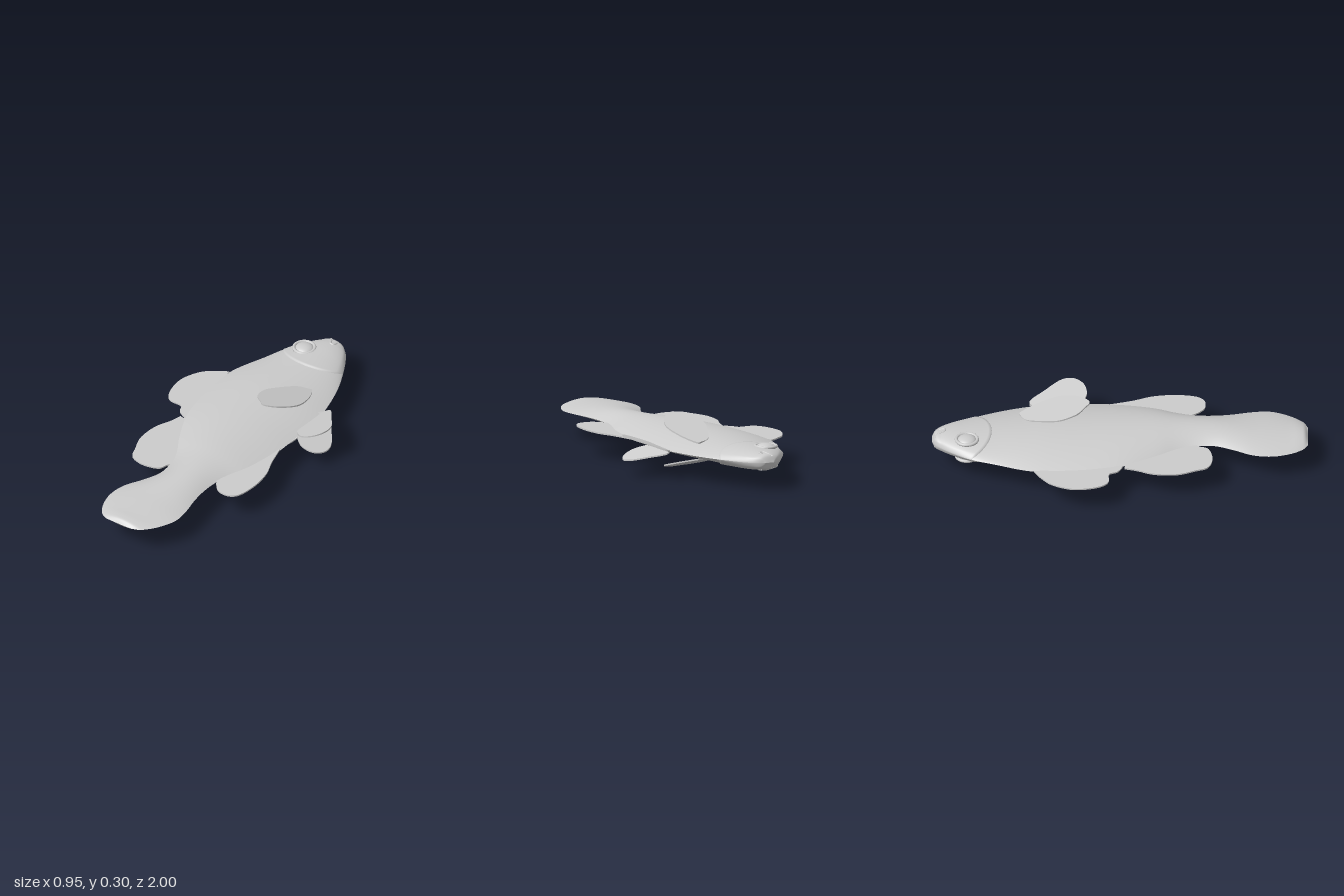
import * as THREE from 'three';

const MID = 0.178; // height of the fish's plane of symmetry
const material = new THREE.MeshStandardMaterial({ color: 0xcccccc, side: THREE.DoubleSide });

// body stations from nose to tail: z, edge at -x, edge at +x, half thickness
const stations = [
  [-1, -0.02, 0.03, 0], [-0.985, -0.05, 0.06, 0.027], [-0.95, -0.085, 0.1, 0.038],
  [-0.9, -0.125, 0.135, 0.045], [-0.8, -0.19, 0.19, 0.05], [-0.68, -0.235, 0.245, 0.053],
  [-0.5, -0.3, 0.3, 0.06], [-0.4, -0.315, 0.318, 0.064], [-0.2, -0.31, 0.325, 0.066],
  [0, -0.27, 0.32, 0.066], [0.2, -0.175, 0.28, 0.062], [0.3, -0.115, 0.24, 0.056],
  [0.4, -0.08, 0.215, 0.051], [0.5, -0.077, 0.21, 0.046], [0.6, -0.115, 0.22, 0.04],
  [0.7, -0.165, 0.24, 0.034], [0.8, -0.18, 0.245, 0.03], [0.9, -0.158, 0.205, 0.026],
  [0.96, -0.125, 0.16, 0.024], [0.985, -0.1, 0.13, 0.018], [1, -0.07, 0.09, 0],
];
const spline = new THREE.CubicInterpolant(
  stations.map(p => p[0]), stations.flatMap(p => p.slice(1)), 3);

// point on the flank: s runs -1..1 across the body, lift raises it off the skin
function flank(z, s, side, lift = 0) {
  const [a, b, h] = spline.evaluate(z);
  const power = THREE.MathUtils.lerp(0.55, 1, THREE.MathUtils.smoothstep(z, -1, -0.5));
  const y = Math.max(h, 0) * Math.pow(Math.max(1 - s * s, 0), power);
  return [(a + b) / 2 + s * (b - a) / 2, MID + side * (y + lift), z];
}

// height of the skin above the symmetry plane at x, z
function skinHeight(x, z) {
  const [a, b] = spline.evaluate(z);
  return flank(z, (2 * x - a - b) / (b - a), 1)[1] - MID;
}

// smooth grid surface, rows along z and columns along x
function sheet(name, rows, cols, side, point) {
  const pos = [], index = [];
  for (let i = 0; i <= rows; i++) {
    for (let j = 0; j <= cols; j++) {
      pos.push(...point(i / rows, -Math.cos(Math.PI * j / cols)));
      if (i < rows && j < cols) {
        const a = i * (cols + 1) + j, b = a + cols + 1;
        if (side > 0) index.push(a, b, a + 1, b, b + 1, a + 1);
        else index.push(a, a + 1, b, b, a + 1, b + 1);
      }
    }
  }
  const geo = new THREE.BufferGeometry();
  geo.setAttribute('position', new THREE.Float32BufferAttribute(pos, 3));
  geo.setIndex(index);
  geo.computeVertexNormals();
  return named(name, geo);
}

function named(name, geo) {
  const mesh = new THREE.Mesh(geo, material);
  mesh.name = name;
  return mesh;
}

// thin fin from an x, z outline, its height given by a rule
function fin(name, outline, height) {
  const shape = new THREE.Shape();
  shape.moveTo(...outline[0]);
  shape.splineThru([...outline.slice(1), outline[0]].map(p => new THREE.Vector2(...p)));
  const depth = 0.008;
  const geo = new THREE.ExtrudeGeometry(shape, { depth, bevelEnabled: false, curveSegments: 48 });
  geo.rotateX(Math.PI / 2).translate(0, MID + depth / 2, 0);
  const p = geo.attributes.position;
  for (let i = 0; i < p.count; i++) p.setY(i, p.getY(i) + height(p.getX(i), p.getZ(i)));
  geo.computeVertexNormals();
  return named(name, geo);
}

const dorsalFront = [[-0.31, -0.46], [-0.36, -0.43], [-0.43, -0.37], [-0.475, -0.27], [-0.475, -0.18],
  [-0.45, -0.1], [-0.41, -0.065], [-0.34, -0.06], [-0.31, -0.01], [-0.24, 0], [-0.27, -0.2]];
const dorsalRear = [[-0.285, 0.02], [-0.305, 0.09], [-0.34, 0.18], [-0.345, 0.3], [-0.31, 0.4], [-0.28, 0.465],
  [-0.2, 0.49], [-0.11, 0.47], [-0.085, 0.42], [-0.06, 0.36], [-0.14, 0.18], [-0.22, 0.05]];
const anal = [[0.315, -0.06], [0.35, 0.07], [0.39, 0.18], [0.402, 0.3], [0.385, 0.41], [0.34, 0.455],
  [0.27, 0.45], [0.215, 0.39], [0.2, 0.33], [0.26, 0.15], [0.29, 0]];
const pelvic = [[0.29, -0.43], [0.335, -0.478], [0.4, -0.4], [0.465, -0.31], [0.472, -0.24],
  [0.43, -0.185], [0.36, -0.175], [0.3, -0.23], [0.28, -0.33]];
const pectoral = [[0.16, -0.53], [0.1, -0.5], [0.05, -0.41], [0.02, -0.32], [0.04, -0.23], [0.09, -0.185],
  [0.13, -0.16], [0.2, -0.21], [0.248, -0.31], [0.23, -0.43], [0.185, -0.525]];

export function createModel() {
  const fish = new THREE.Group();
  fish.name = 'fish';

  for (const side of [1, -1]) {
    const tag = side > 0 ? 'Upper' : 'Lower';

    // flank, with rows crowded at nose and tail
    fish.add(sheet('body' + tag, 90, 32, side, (u, s) => flank(-Math.cos(Math.PI * u), s, side)));

    // raised head plate ending in the curved gill edge
    fish.add(sheet('head' + tag, 40, 32, side, (u, s) => {
      const t = Math.min(u / 0.96, 1);
      const z = -1 + (0.32 - 0.11 * s * s) * (1 - Math.cos(Math.PI * t / 2));
      const fade = Math.min(1, (1 - Math.abs(s)) * 8) * Math.min(1, t * 5);
      return flank(z, s, side, u > 0.97 ? -0.003 : 0.007 * fade);
    }));

    // eye: ball in a raised rim
    const eye = new THREE.Group();
    eye.name = 'eye' + tag;
    const rim = named('eyeRim', new THREE.TorusGeometry(0.056, 0.009, 10, 32).rotateX(Math.PI / 2));
    rim.position.y = side * 0.004;
    const ball = named('eyeball', new THREE.SphereGeometry(0.05, 28, 18));
    ball.scale.y = 0.42;
    eye.add(rim, ball);
    eye.position.set(-0.075, MID + side * 0.048, -0.815);
    fish.add(eye);

    // hooked lip
    const lip = [[-0.02, -0.985], [0, -0.955], [0.012, -0.932], [0.03, -0.932], [0.034, -0.96]].map(
      ([x, z]) => new THREE.Vector3(x, MID + side * (skinHeight(x, z) + 0.005), z));
    fish.add(named('lip' + tag,
      new THREE.TubeGeometry(new THREE.CatmullRomCurve3(lip), 24, 0.007, 8)));

    // paired fins, spread away from the body
    fish.add(fin('pectoralFin' + tag, pectoral, (x, z) => side * (0.045 + 0.27 * (z + 0.53))));
    fish.add(fin('pelvicFin' + tag, pelvic, (x, z) => side * (0.34 * (x - 0.29) + 0.04 * (z + 0.3))));
  }

  // single fins in the symmetry plane
  fish.add(fin('dorsalFinFront', dorsalFront, () => 0));
  fish.add(fin('dorsalFinRear', dorsalRear, () => 0));
  fish.add(fin('analFin', anal, () => 0));
  return fish;
}
